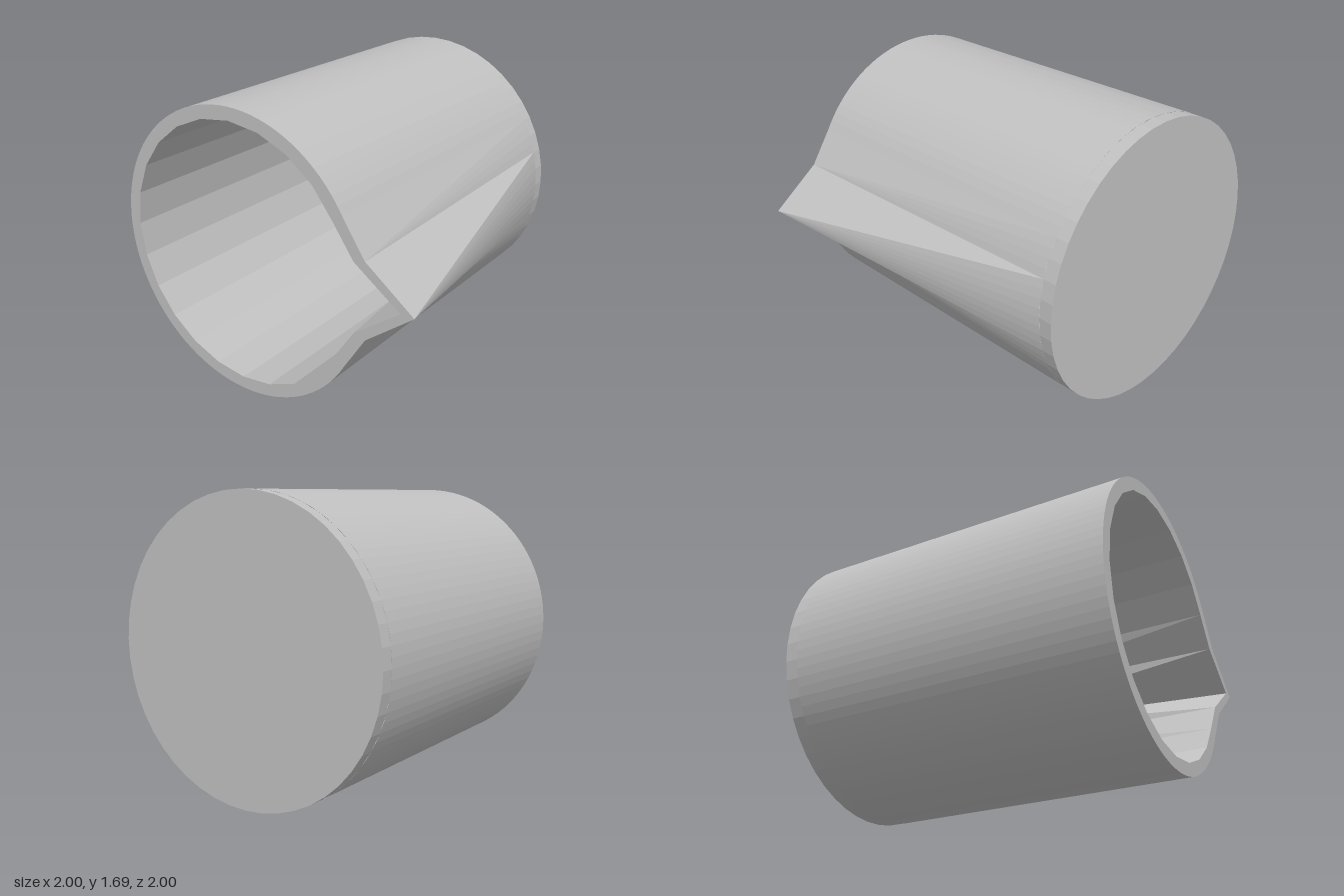
import * as THREE from 'three';

const CX = -0.155, CY = 0.845, FRONT = 1, FLOOR = -0.92, BACK = -1;

const outer = { radius: 0.845, sides: 96, shoulder: [0.71, CY + 0.22], tip: [1, CY] };
const inner = { radius: 0.77, sides: 24, shoulder: [0.64, CY + 0.2], tip: [0.92, CY] };

// Round section at the floor, angle in degrees from +x
function circlePoint(wall, deg) {
  const a = THREE.MathUtils.degToRad(deg);
  return [CX + wall.radius * Math.cos(a), CY + wall.radius * Math.sin(a)];
}

// Section at the open end: circle pulled out into a pointed spout
function mouthPoint(wall, deg) {
  const a = Math.abs(deg);
  if (a < 14.9) return wall.tip;
  if (a < 29.9) return [wall.shoulder[0], CY + Math.sign(deg) * (wall.shoulder[1] - CY)];
  return circlePoint(wall, deg);
}

// Faceted loft from the spouted mouth to the round floor
function loft(wall, inward) {
  const pos = [];
  const tri = (a, b, c) => {
    const ab = new THREE.Vector3().subVectors(b, a), ac = new THREE.Vector3().subVectors(c, a);
    if (ab.cross(ac).length() < 1e-7) return;
    for (const p of inward ? [a, c, b] : [a, b, c]) pos.push(p.x, p.y, p.z);
  };
  const step = 360 / wall.sides;
  for (let k = -wall.sides / 2; k < wall.sides / 2; k++) {
    const [f0, f1] = [k, k + 1].map(i => new THREE.Vector3(...mouthPoint(wall, i * step), FRONT));
    const [b0, b1] = [k, k + 1].map(i => new THREE.Vector3(...circlePoint(wall, i * step), FLOOR));
    // the split of each strip is mirrored about the spout
    if ((k >= 0) !== inward) {
      tri(f0, b0, b1);
      tri(f0, b1, f1);
    } else {
      tri(f0, b0, f1);
      tri(f1, b0, b1);
    }
  }
  const g = new THREE.BufferGeometry();
  g.setAttribute('position', new THREE.Float32BufferAttribute(pos, 3));
  g.computeVertexNormals();
  return g;
}

// Outline of the mouth without repeated points
function outline(wall) {
  const pts = [];
  for (let k = 0; k < wall.sides; k++) {
    let deg = k * 360 / wall.sides;
    if (deg > 180) deg -= 360;
    const p = new THREE.Vector2(...mouthPoint(wall, deg));
    if (!pts.some(q => q.distanceTo(p) < 1e-5)) pts.push(p);
  }
  return pts;
}

export function createModel() {
  const group = new THREE.Group();
  group.name = 'spoutedCup';
  const grey = new THREE.MeshStandardMaterial({ color: 0xc0c0c0, flatShading: true });
  grey.name = 'light grey';
  const add = (name, geometry) => {
    const mesh = new THREE.Mesh(geometry, grey);
    mesh.name = name;
    group.add(mesh);
  };

  add('outerWall', loft(outer, false));
  add('innerWall', loft(inner, true));

  // Flat rim around the open end
  const rim = new THREE.Shape(outline(outer));
  rim.holes.push(new THREE.Path(outline(inner)));
  add('rim', new THREE.ShapeGeometry(rim).translate(0, 0, FRONT));

  // Round base plate closing the cup
  const base = new THREE.CylinderGeometry(outer.radius, outer.radius, FLOOR - BACK, 48);
  base.rotateX(Math.PI / 2).translate(CX, CY, (FLOOR + BACK) / 2);
  add('base', base);

  return group;
}
